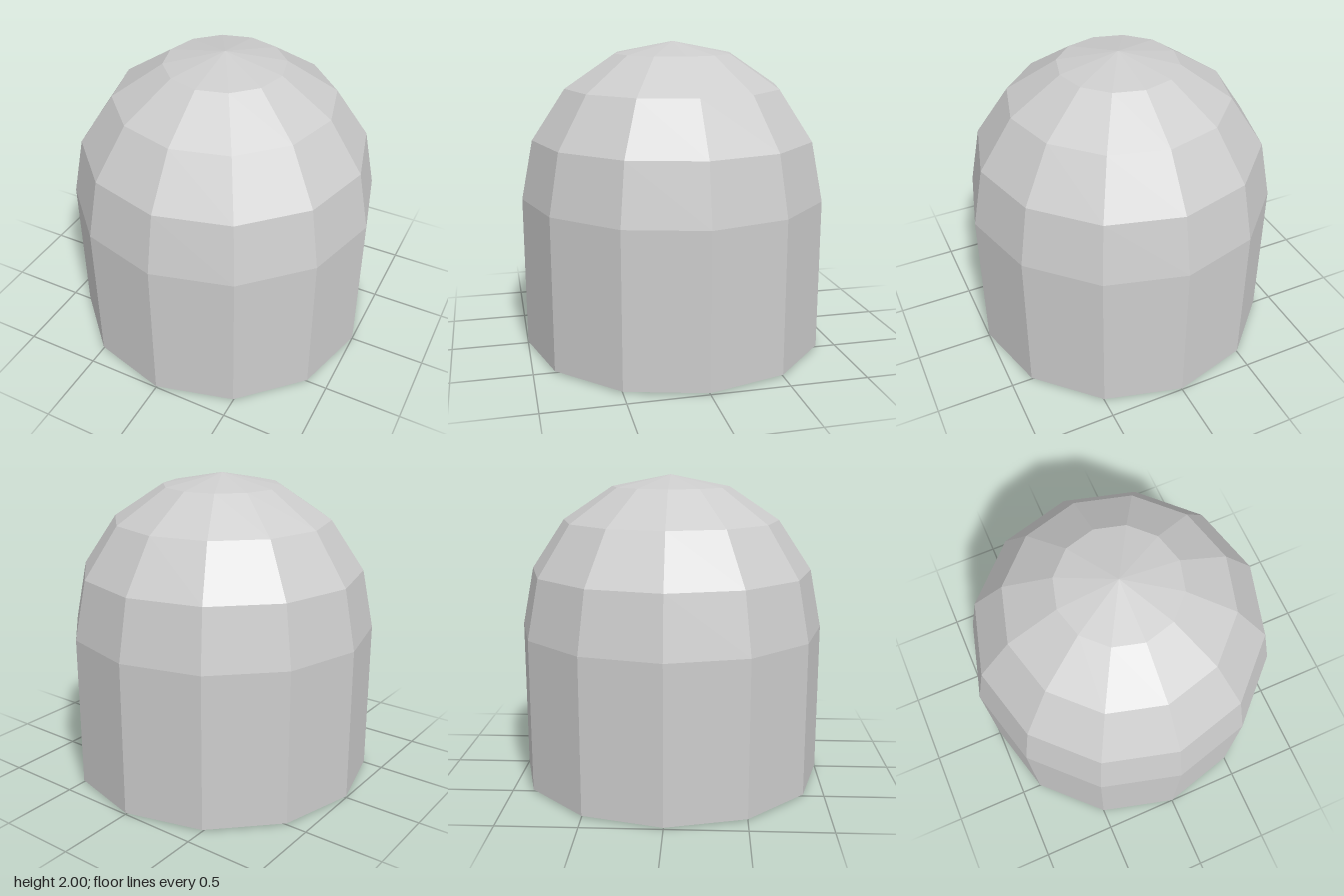
import * as THREE from 'three';

const SIDES = 12;
const RIM_Y = 0.01; // lower edge of the open skirt
const EQUATOR_Y = 1;

export function createModel() {
  const group = new THREE.Group();
  group.name = 'domedCapsule';

  const grey = new THREE.MeshStandardMaterial({
    color: 0xcccccc,
    flatShading: true,
    side: THREE.DoubleSide,
  });
  grey.name = 'light grey';

  // Full faceted ball: its top is the dome, its lower half hangs inside the skirt
  const ball = new THREE.Mesh(new THREE.SphereGeometry(1, SIDES, 8), grey);
  ball.name = 'ball';
  ball.position.y = EQUATOR_Y;
  group.add(ball);

  // Open-ended straight wall from the equator down
  const height = EQUATOR_Y - RIM_Y;
  const skirt = new THREE.Mesh(
    new THREE.CylinderGeometry(1, 1, height, SIDES, 1, true),
    grey
  );
  skirt.name = 'skirt';
  skirt.position.y = RIM_Y + height / 2;
  group.add(skirt);

  return group;
}
